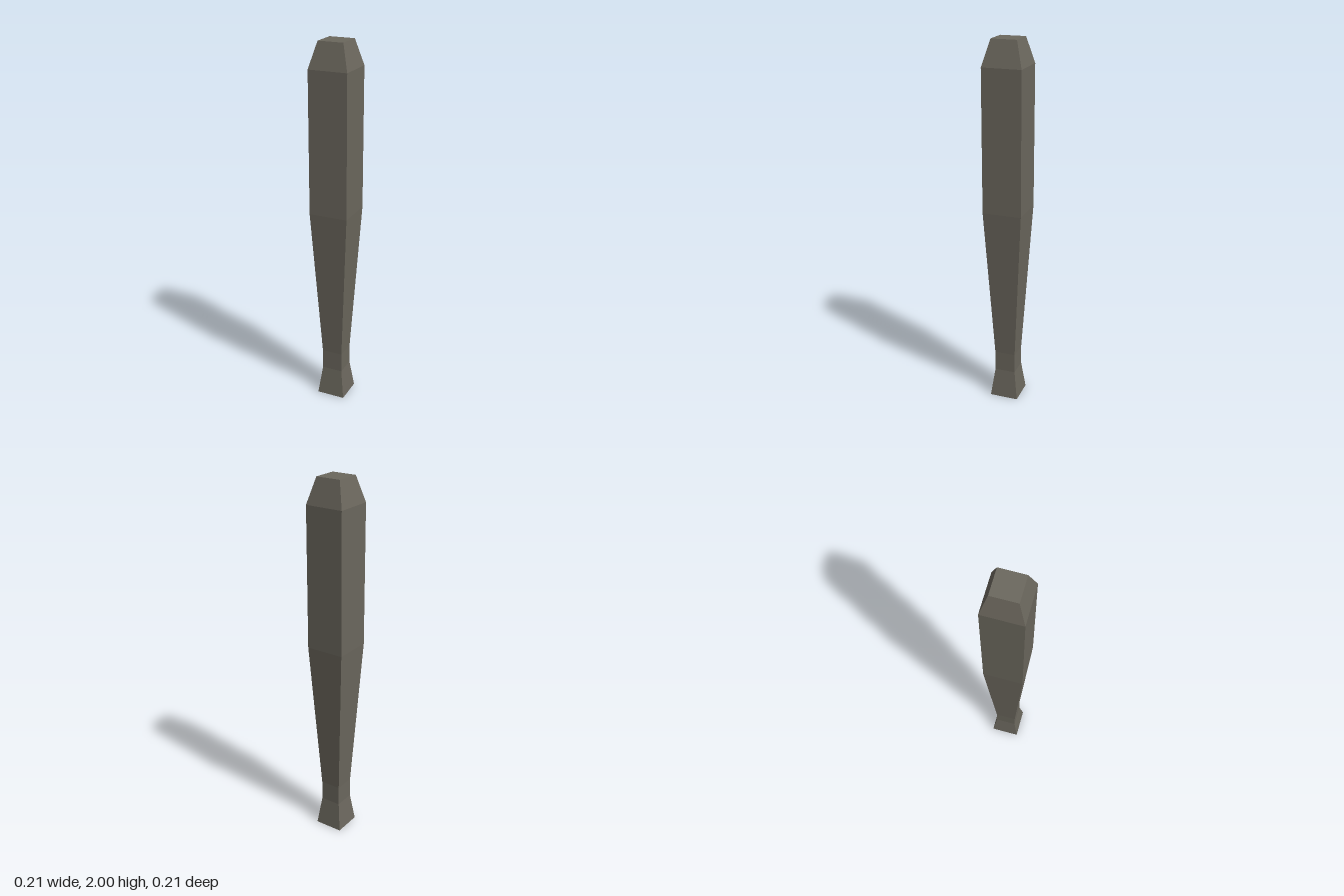
import * as THREE from 'three';

// Half-width of the square section at each height, bottom to top
const PROFILE = [
  [0, 0],
  [0.078, 0], // flared pommel
  [0.057, 0.16], // grip
  [0.057, 0.27],
  [0.105, 1.11], // barrel
  [0.105, 1.865],
  [0.068, 2], // bevelled tip
  [0, 2],
];

export function createModel() {
  const group = new THREE.Group();
  group.name = 'bat';

  // A four-sided lathe turned 45 degrees gives the square section
  const points = PROFILE.map(([half, y]) => new THREE.Vector2(half * Math.SQRT2, y));
  const geometry = new THREE.LatheGeometry(points, 4).rotateY(Math.PI / 4).toNonIndexed();
  geometry.computeVertexNormals();

  const material = new THREE.MeshStandardMaterial({ color: 0x6b675d, flatShading: true });
  const body = new THREE.Mesh(geometry, material);
  body.name = 'batBody';
  group.add(body);
  return group;
}
